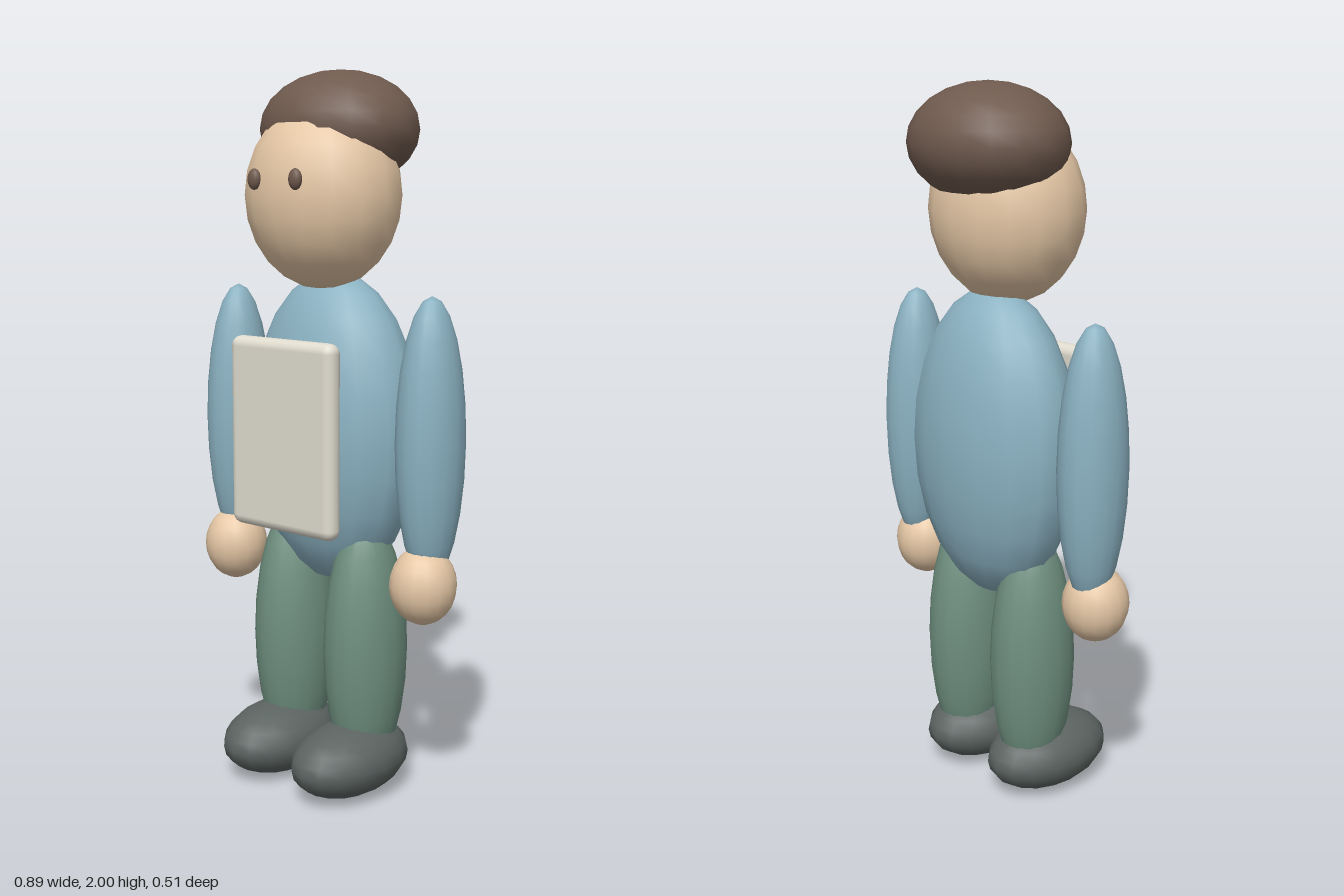
import * as THREE from 'three';
import { RoundedBoxGeometry } from 'three/addons/geometries/RoundedBoxGeometry.js';

const paint = (color) => new THREE.MeshStandardMaterial({ color });

export function createModel() {
  const model = new THREE.Group();
  model.name = 'figure';

  const skin = paint(0xe6c8a6);
  const brown = paint(0x6f5a4e);
  const shirt = paint(0x8bb2c2);
  const trousers = paint(0x6f9080);
  const shoe = paint(0x5c6462);
  const card = paint(0xe0dccf);

  const ball = new THREE.SphereGeometry(1, 16, 12);

  // One smooth ellipsoid: centre and radii
  function ellipsoid(name, material, centre, radii) {
    const mesh = new THREE.Mesh(ball, material);
    mesh.name = name;
    mesh.position.set(...centre);
    mesh.scale.set(...radii);
    model.add(mesh);
  }

  // Body, head and hair
  ellipsoid('torso', shirt, [0, 1.022, -0.033], [0.278, 0.439, 0.182]);
  ellipsoid('head', skin, [0, 1.665, 0.013], [0.225, 0.255, 0.203]);
  ellipsoid('hair', brown, [0, 1.841, -0.054], [0.234, 0.159, 0.203]);

  // Mirrored parts
  for (const [side, s] of [['left', 1], ['right', -1]]) {
    ellipsoid(side + 'Eye', brown, [0.074 * s, 1.707, 0.205], [0.021, 0.028, 0.015]);
    ellipsoid(side + 'Arm', shirt, [0.357 * s, 1.02, -0.012], [0.089, 0.388, 0.103]);
    ellipsoid(side + 'Hand', skin, [0.355 * s, 0.636, 0.01], [0.091, 0.107, 0.093]);
    ellipsoid(side + 'Leg', trousers, [0.134 * s, 0.41, -0.013], [0.11, 0.38, 0.129]);
    ellipsoid(side + 'Shoe', shoe, [0.133 * s, 0.103, 0.05], [0.132, 0.103, 0.203]);
  }

  // Flat panel on the chest
  const panel = new THREE.Mesh(new RoundedBoxGeometry(0.375, 0.53, 0.058, 2, 0.028), card);
  panel.name = 'chestPanel';
  panel.position.set(0, 1.02, 0.17);
  model.add(panel);

  return model;
}
